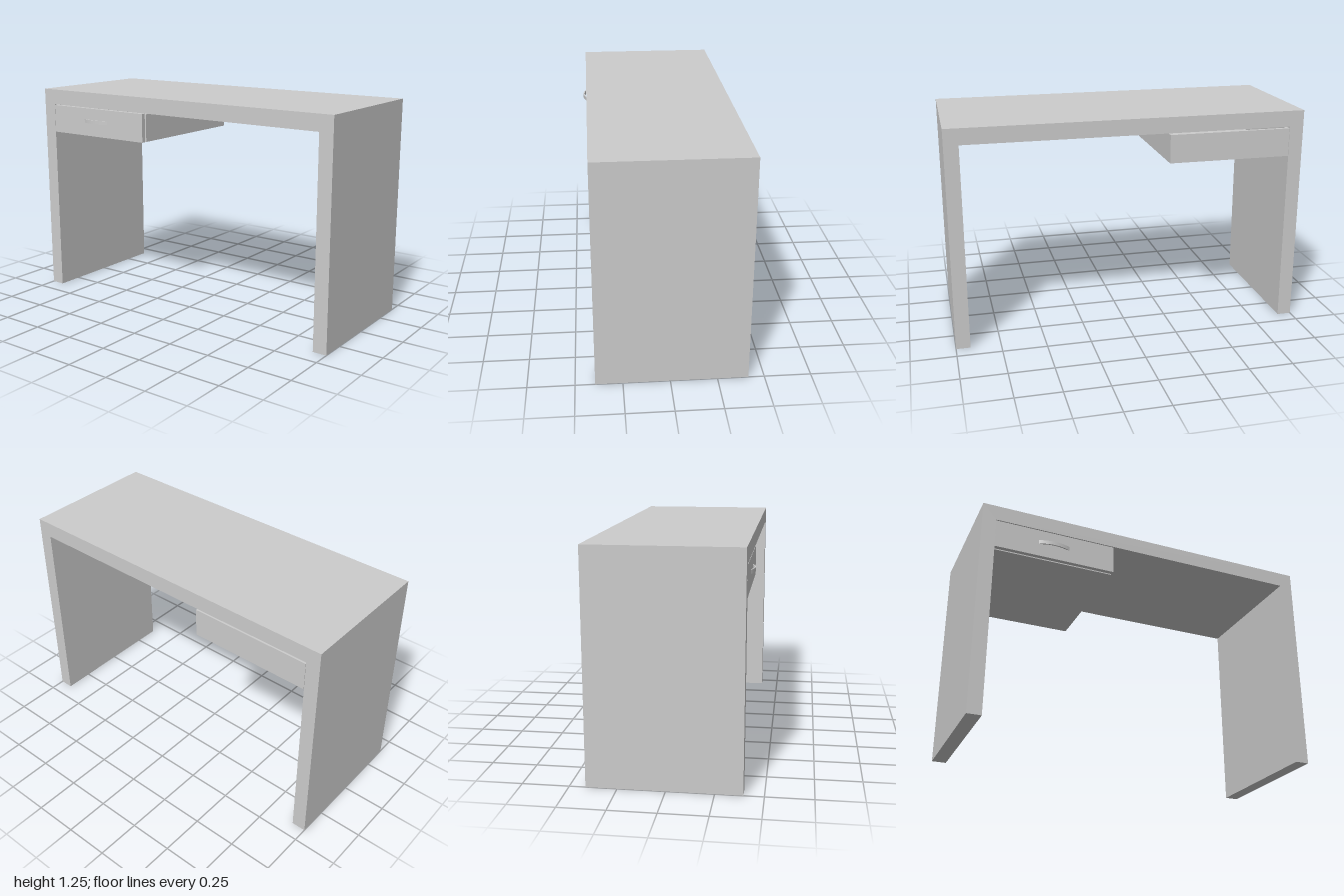
import * as THREE from 'three';

const material = new THREE.MeshStandardMaterial({ color: 0xcccccc });
const BACK = -0.415, FRONT = 0.395;

function add(parent, name, geometry) {
  const mesh = new THREE.Mesh(geometry, material);
  mesh.name = name;
  parent.add(mesh);
  return mesh;
}

// Box given by its lower and upper corners
function box(parent, name, [x0, y0, z0], [x1, y1, z1]) {
  const mesh = add(parent, name, new THREE.BoxGeometry(x1 - x0, y1 - y0, z1 - z0));
  mesh.position.set((x0 + x1) / 2, (y0 + y1) / 2, (z0 + z1) / 2);
  return mesh;
}

export function createModel() {
  const desk = new THREE.Group();
  desk.name = 'desk';

  // Top and side panels as one bridge-shaped slab
  const outline = new THREE.Shape([
    [-1, 0], [-0.92, 0], [-0.92, 1.16], [0.92, 1.16],
    [0.92, 0], [1, 0], [1, 1.25], [-1, 1.25],
  ].map(([x, y]) => new THREE.Vector2(x, y)));
  const frame = new THREE.ExtrudeGeometry(outline, { depth: FRONT - BACK, bevelEnabled: false });
  add(desk, 'deskFrame', frame.translate(0, 0, BACK));

  const drawer = new THREE.Group();
  drawer.name = 'drawer';
  desk.add(drawer);

  // Drawer front, with a narrow groove between it and the tray
  const left = -0.918, right = -0.22, bottom = 0.99, top = 1.15, wall = 0.02;
  const trayFront = 0.36;
  box(drawer, 'drawerFront', [left, bottom, 0.37], [right, 1.155, FRONT]);

  // Open tray, reaching the back of the desk
  box(drawer, 'drawerBottom', [left, bottom, BACK], [right, bottom + wall, trayFront]);
  for (const [name, x] of [['drawerRightSide', left], ['drawerLeftSide', right - wall]]) {
    box(drawer, name, [x, bottom + wall, BACK], [x + wall, top, trayFront]);
  }
  for (const [name, z] of [['drawerBack', BACK], ['drawerInnerFront', trayFront - wall]]) {
    box(drawer, name, [left + wall, bottom + wall, z], [right - wall, top, z + wall]);
  }

  // Bowed handle: a thin arc swept upwards
  const radius = 0.2125, half = Math.asin(0.09 / radius), thick = 0.007;
  const arc = new THREE.Shape();
  arc.absarc(0, 0, radius, Math.PI / 2 - half, Math.PI / 2 + half, false);
  arc.absarc(0, 0, radius - thick, Math.PI / 2 + half, Math.PI / 2 - half, true);
  const handle = new THREE.ExtrudeGeometry(arc, { depth: 0.022, bevelEnabled: false, curveSegments: 16 });
  handle.rotateX(Math.PI / 2);
  add(drawer, 'handle', handle).position.set(-0.58, 1.09, 0.415 - radius);

  return desk;
}
